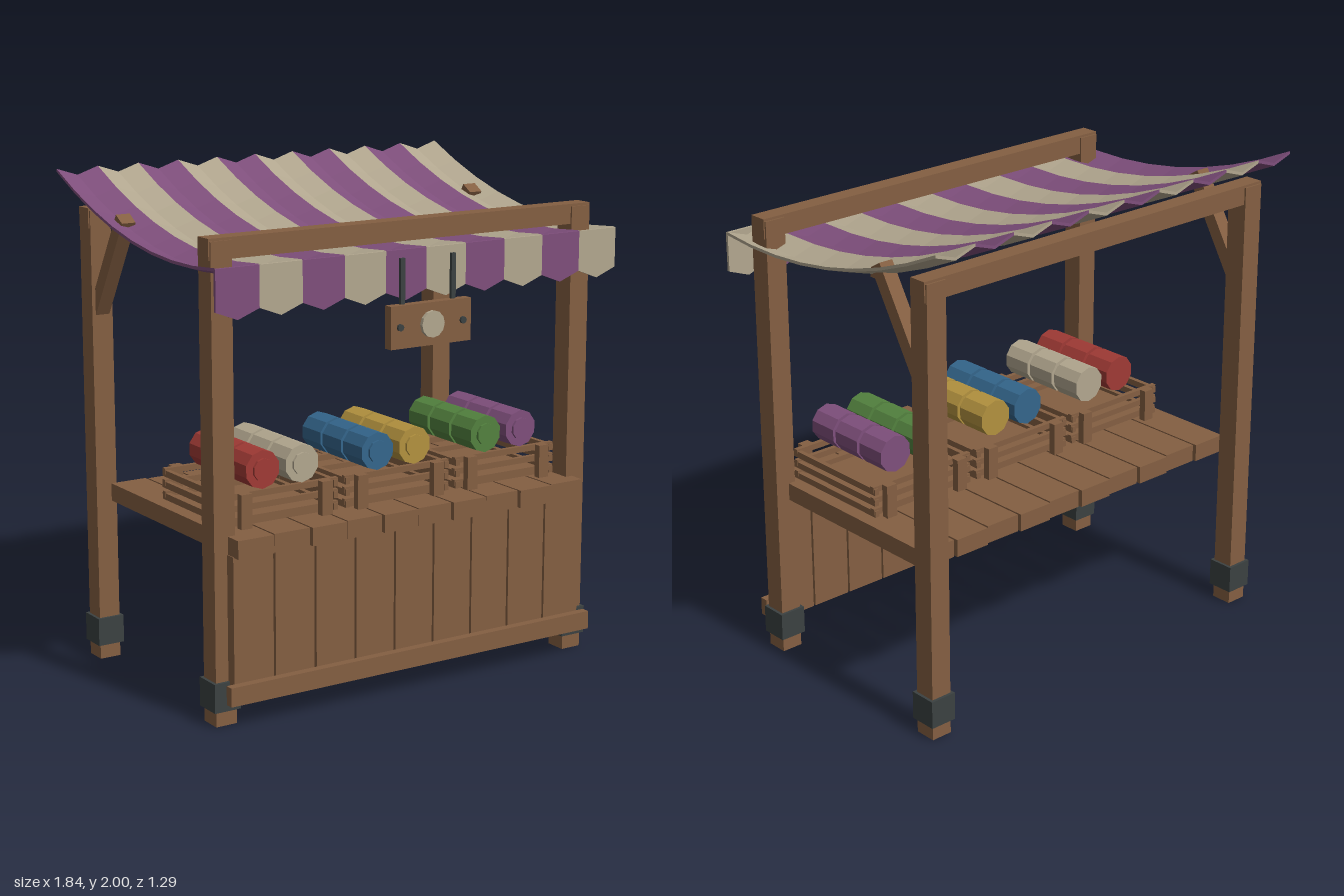
import * as THREE from 'three';

const mat = (name, color) => {
  const m = new THREE.MeshStandardMaterial({ color });
  m.name = name;
  m.flatShading = true;
  return m;
};

export function createModel() {
  const root = new THREE.Group();
  root.name = 'marketStall';
  const wood = mat('wood', 0x845f42), iron = mat('iron', 0x3b4141);
  const purple = mat('purple cloth', 0x7f4f7c), cream = mat('cream cloth', 0xb2a78f);
  const red = mat('red cloth', 0xa03a35), blue = mat('blue cloth', 0x34668c);
  const gold = mat('gold cloth', 0xb3923f), green = mat('green cloth', 0x53823f);

  const add = (name, geo, material, x = 0, y = 0, z = 0, parent = root) => {
    const m = new THREE.Mesh(geo, material);
    m.name = name;
    m.position.set(x, y, z);
    parent.add(m);
    return m;
  };
  // Box given by its limits on each axis
  const box = (name, material, [x0, x1], [y0, y1], [z0, z1], parent) =>
    add(name, new THREE.BoxGeometry(x1 - x0, y1 - y0, z1 - z0), material,
      (x0 + x1) / 2, (y0 + y1) / 2, (z0 + z1) / 2, parent);
  // Cylinder lying along z
  const drum = (name, material, r, len, sides, x, y, z, parent) =>
    add(name, new THREE.CylinderGeometry(r, r, len, sides).rotateX(Math.PI / 2), material, x, y, z, parent);
  const group = (name) => {
    const g = new THREE.Group();
    g.name = name;
    root.add(g);
    return g;
  };

  // Frame: posts, iron collars, top beams
  for (const [end, z] of [['front', 0.44], ['back', -0.5]]) {
    for (const x of [-0.83, 0.83]) {
      box(end + 'Post', wood, [x - 0.045, x + 0.045], [0, 1.85], [z - 0.045, z + 0.045]);
      box(end + 'Collar', iron, [x - 0.057, x + 0.057], [0.06, 0.175], [z - 0.057, z + 0.057]);
    }
    box(end + 'Beam', wood, [-0.88, 0.88], [1.78, 1.86], [z - 0.038, z + 0.038]);
  }

  // Slanted braces from the back posts to the canopy
  for (const x of [-0.83, 0.83]) {
    const brace = add('brace', new THREE.BoxGeometry(0.06, 0.46, 0.057), wood, x, 1.645, -0.36);
    brace.rotation.x = Math.atan2(0.21, 0.35);
  }

  // Counter planks with slightly staggered ends
  const counter = group('counter');
  for (let i = 0; i < 10; i++) {
    const x = -0.82 + (i + 0.5) * 0.164, s = i % 2 ? 0.01 : 0;
    box('counterPlank', wood, [x - 0.078, x + 0.078], [0.668, 0.74], [-0.44 + s, 0.56 - s], counter);
  }

  // Front panel and bottom rail
  const panel = group('frontPanel');
  for (let i = 0; i < 9; i++) {
    const x = -0.825 + (i + 0.5) * 0.1833;
    box('panelPlank', wood, [x - 0.087, x + 0.087], [0.092, 0.67], [0.485, 0.53], panel);
  }
  box('bottomRail', wood, [-0.855, 0.855], [0.1, 0.175], [0.53, 0.565], panel);

  // Crates, each with two cloth rolls
  const rollColours = [[red, cream], [blue, gold], [green, purple]];
  [-0.525, 0, 0.525].forEach((cx, i) => {
    const crate = group('crate');
    crate.position.x = cx;
    box('crateFloor', wood, [-0.23, 0.23], [0.742, 0.76], [-0.07, 0.39], crate);
    for (const y of [0.77, 0.817, 0.863]) {
      for (const z of [-0.08, 0.4])
        box('crateEndSlat', wood, [-0.247, 0.247], [y - 0.012, y + 0.012], [z - 0.01, z + 0.01], crate);
      for (const x of [-0.235, 0.235])
        box('crateSideSlat', wood, [x - 0.01, x + 0.01], [y - 0.022, y + 0.004], [-0.095, 0.415], crate);
    }
    for (const x of [-0.18, 0.18]) for (const z of [-0.105, 0.425])
      box('cratePost', wood, [x - 0.024, x + 0.024], [0.74, 0.875], [z - 0.015, z + 0.015], crate);
    const offset = [0.002, 0, -0.002][i];
    rollColours[i].forEach((colour, k) => {
      const x = (k ? 0.088 : -0.088) + offset;
      for (let n = 0; n < 3; n++) drum('clothRoll', colour, 0.076, 0.133, 10, x, 0.95, 0.036 + n * 0.149, crate);
      drum('rollCore', colour, 0.062, 0.42, 10, x, 0.95, 0.185, crate);
      drum('rollEnd', colour, 0.045, 0.012, 10, x, 0.95, 0.405, crate);
    });
  });

  // Sagging pleated canopy: one thin V-shaped strip per stripe
  const N = 8, W = 0.184;
  const strip = (x0) => {
    const pos = [];
    const tri = (...p) => p.forEach((v) => pos.push(...v));
    const quad = (a, b, c, d) => tri(a, b, c, a, c, d);
    const section = (t) => {
      const y = 1.773 - 0.147 * t + 0.373 * t * t, z = 0.59 - 1.238 * t;
      const xs = [x0, x0 + W / 2, x0 + W], dip = [0, 0.03, 0];
      const top = xs.map((x, i) => [x, y - dip[i], z]);
      return [...top, ...top.map(([x, v]) => [x, v - 0.012, z]).reverse()];
    };
    for (let j = 0; j < N; j++) {
      const a = section(j / N), b = section((j + 1) / N);
      for (let k = 0; k < 6; k++) {
        const m = (k + 1) % 6;
        quad(a[k], a[m], b[m], b[k]);
      }
    }
    const f = section(0), r = section(1);
    quad(f[0], f[5], f[4], f[1]);
    quad(f[1], f[4], f[3], f[2]);
    quad(r[0], r[1], r[4], r[5]);
    quad(r[1], r[2], r[3], r[4]);
    const g = new THREE.BufferGeometry();
    g.setAttribute('position', new THREE.Float32BufferAttribute(pos, 3));
    g.computeVertexNormals();
    return g;
  };

  // Hanging valance tab with a pointed lower edge
  const tab = new THREE.Shape([[0, 1.77], [0, 1.612], [W / 2, 1.577], [W, 1.612], [W, 1.77]]
    .map(([x, y]) => new THREE.Vector2(x, y)));
  const tabGeo = new THREE.ExtrudeGeometry(tab, { depth: 0.012, bevelEnabled: false });
  const canopy = group('canopy');
  for (let i = 0; i < 10; i++) {
    const x = -0.92 + i * W, cloth = i % 2 ? cream : purple;
    add('canopyStripe', strip(x), cloth, 0, 0, 0, canopy);
    add('valanceTab', tabGeo, cloth, x, 0, 0.583, canopy);
  }

  // Hanging sign with a plain round medallion
  const sign = group('sign');
  box('signBoard', wood, [-0.185, 0.185], [1.4, 1.565], [0.59, 0.63], sign);
  drum('medallion', cream, 0.052, 0.016, 12, 0, 1.483, 0.637, sign);
  for (const s of [-1, 1]) {
    box('hanger', iron, [s * 0.117 - 0.01, s * 0.117 + 0.01], [1.56, 1.74], [0.597, 0.61], sign);
    drum('signBolt', iron, 0.014, 0.012, 8, s * 0.145, 1.483, 0.634, sign);
  }
  return root;
}
